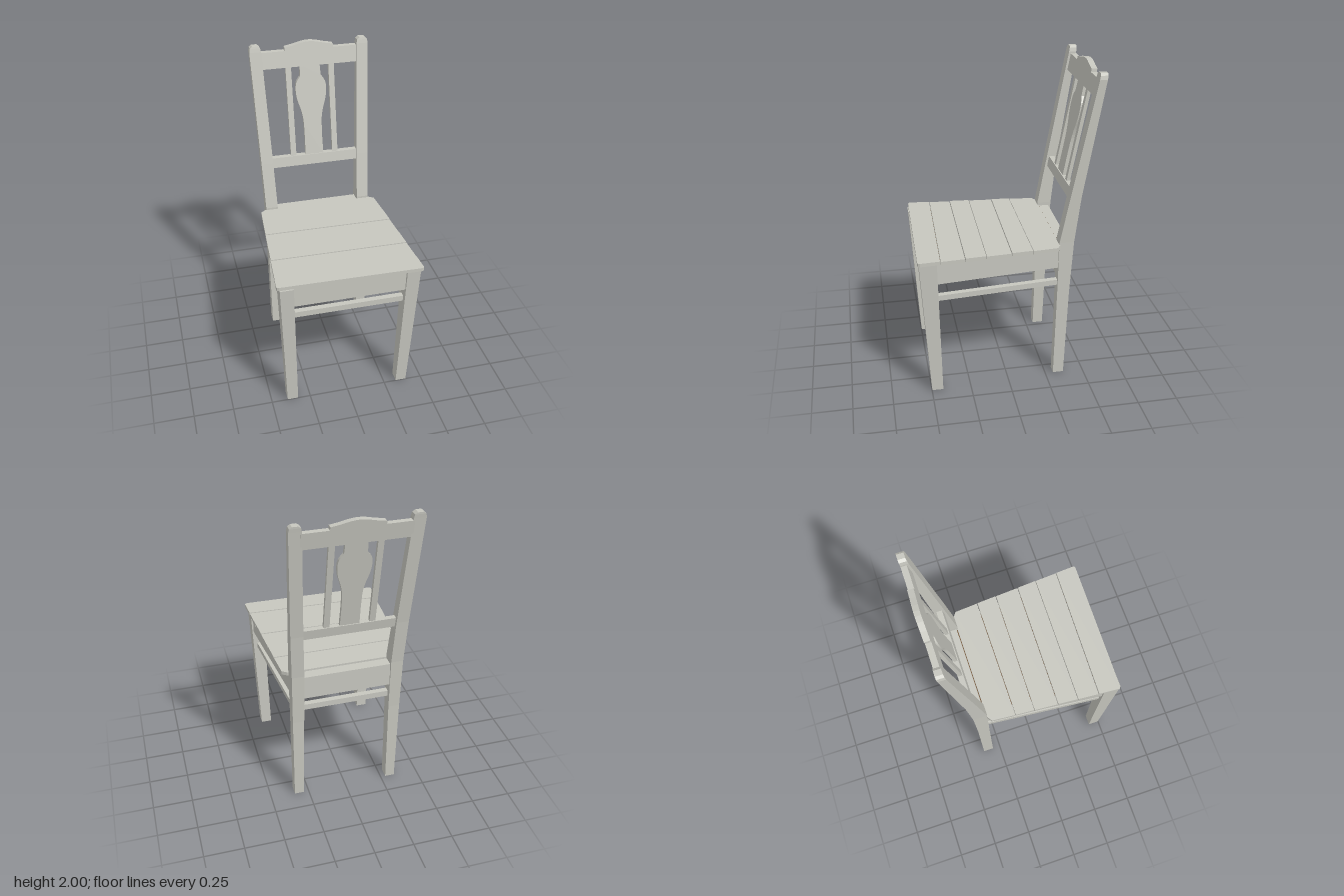
import * as THREE from 'three';

export function createModel() {
  const chair = new THREE.Group();
  chair.name = 'chair';
  const paint = new THREE.MeshStandardMaterial({ color: 0xc6c6be });
  paint.name = 'grey paint';
  const wood = new THREE.MeshStandardMaterial({ color: 0x70502f });
  wood.name = 'bare brown wood';

  function add(name, geometry, material = paint) {
    const mesh = new THREE.Mesh(geometry, material);
    mesh.name = name;
    chair.add(mesh);
    return mesh;
  }

  // Bar of rectangular sections [t, x0, x1, b0, b1] along y (b = z) or z (b = y).
  // bareFace is the box side (0..5 = +x -x +y -y +z -z) left unpainted.
  function bar(name, axis, sections, bareFace = -1) {
    const n = sections.length - 1;
    let g = new THREE.BoxGeometry(1, 1, 1, 1, axis === 'y' ? n : 1, axis === 'z' ? n : 1);
    const p = g.attributes.position;
    for (let i = 0; i < p.count; i++) {
      const along = axis === 'y' ? p.getY(i) : p.getZ(i);
      const across = axis === 'y' ? p.getZ(i) : p.getY(i);
      const [t, x0, x1, b0, b1] = sections[Math.round((along + 0.5) * n)];
      const x = p.getX(i) > 0 ? Math.max(x0, x1) : Math.min(x0, x1);
      const b = across > 0 ? b1 : b0;
      if (axis === 'y') p.setXYZ(i, x, t, b);
      else p.setXYZ(i, x, b, t);
    }
    g = g.toNonIndexed();
    g.computeVertexNormals();
    add(name, g, [0, 1, 2, 3, 4, 5].map((f) => (f === bareFace ? wood : paint)));
  }

  const FRONT = 4, BACK = 5, BOTTOM = 3;

  // Legs, side aprons and side stretchers, mirrored
  for (const s of [1, -1]) {
    const side = s > 0 ? 'left' : 'right';
    bar(side + 'FrontLeg', 'y', [
      [0, s * 0.33, s * 0.398, 0.428, 0.498],
      [0.915, s * 0.348, s * 0.432, 0.445, 0.552],
    ], BOTTOM);
    bar(side + 'RearPost', 'y', [
      [0, s * 0.282, s * 0.343, -0.37, -0.302],
      [0.6, s * 0.275, s * 0.347, -0.388, -0.312],
      [0.95, s * 0.273, s * 0.35, -0.407, -0.316],
      [1.25, s * 0.282, s * 0.359, -0.44, -0.372],
      [1.965, s * 0.306, s * 0.38, -0.555, -0.509],
      [1.988, s * 0.311, s * 0.375, -0.559, -0.514],
      [2.0, s * 0.327, s * 0.36, -0.56, -0.517],
    ], BOTTOM);
    bar(side + 'Apron', 'z', [
      [-0.33, s * 0.307, s * 0.337, 0.775, 0.915],
      [0.46, s * 0.39, s * 0.42, 0.775, 0.915],
    ], s > 0 ? 1 : 0);
    bar(side + 'Stretcher', 'z', [
      [-0.33, s * 0.293, s * 0.328, 0.65, 0.685],
      [0.46, s * 0.365, s * 0.4, 0.65, 0.685],
    ]);
  }

  // Front and rear aprons and stretchers
  bar('frontApron', 'z', [
    [0.5, -0.36, 0.36, 0.775, 0.915],
    [0.532, -0.36, 0.36, 0.775, 0.915],
  ], BACK);
  bar('rearApron', 'z', [
    [-0.39, -0.29, 0.29, 0.775, 0.928],
    [-0.325, -0.29, 0.29, 0.775, 0.928],
  ], FRONT);
  bar('frontStretcher', 'z', [
    [0.47, -0.35, 0.35, 0.67, 0.708],
    [0.505, -0.35, 0.35, 0.67, 0.708],
  ]);
  bar('rearStretcher', 'z', [
    [-0.365, -0.285, 0.285, 0.67, 0.708],
    [-0.33, -0.285, 0.285, 0.67, 0.708],
  ]);

  // Flat board lying in the xz plane from an outline of [x, z] points
  function board(name, outline, y, thickness, material) {
    const shape = new THREE.Shape(outline.map(([x, z]) => new THREE.Vector2(x, -z)));
    const g = new THREE.ExtrudeGeometry(shape, { depth: thickness, bevelEnabled: false });
    g.rotateX(-Math.PI / 2);
    return add(name, g, material).position.setY(y);
  }

  // Seat planks: joints as [z at the right edge, z at the left edge]
  const joints = [
    [-0.32, -0.32], [-0.145, -0.143], [-0.022, -0.01], [0.132, 0.146],
    [0.263, 0.275], [0.4, 0.424], [0.545, 0.56],
  ];
  const half = (z) => 0.39 + (z + 0.295) * 0.0714;
  for (let i = 0; i < joints.length - 1; i++) {
    const gap = 0.002;
    const [ar, al] = joints[i].map((z) => z + (i ? gap : 0));
    const [br, bl] = joints[i + 1].map((z) => z - (i < 5 ? gap : 0));
    let rear = [[half(al), al], [-half(ar), ar]];
    let front = [[-half(br), br], [half(bl), bl]];
    // Clipped corners at the rear, softened corners at the front
    if (i === 0) rear = [[0.388, -0.297], [0.355, -0.32], [-0.355, -0.32], [-0.388, -0.297]];
    if (i === 5) {
      front = [[-0.449, 0.53], [-0.446, 0.541], [-0.435, 0.545],
        [0.435, 0.56], [0.446, 0.557], [0.45, 0.545]];
    }
    board('seatPlank' + (i + 1), [...rear, ...front], 0.914 + (i % 2) * 0.003, 0.023, paint);
  }
  // Unpainted underside between the aprons
  board('seatUnderside', [[0.31, -0.33], [-0.31, -0.33], [-0.394, 0.505], [0.394, 0.505]],
    0.909, 0.004, wood);

  // Backrest parts: upright outline, sheared to follow the lean of the posts
  function leaning(name, outline, depth, inset) {
    const shape = new THREE.Shape(outline.map(([x, y]) => new THREE.Vector2(x, y)));
    const g = new THREE.ExtrudeGeometry(shape, { depth, bevelEnabled: false });
    const p = g.attributes.position;
    for (let i = 0; i < p.count; i++) {
      const frontZ = -0.315 - 0.191 * (p.getY(i) - 0.95) - inset;
      p.setZ(i, frontZ - depth + p.getZ(i));
    }
    g.computeVertexNormals();
    add(name, g);
  }
  const mirrored = (right) => [...right, ...right.map(([x, y]) => [-x, y]).reverse()];
  const rect = (x0, x1, y0, y1) => [[x0, y0], [x1, y0], [x1, y1], [x0, y1]];

  leaning('lowerBackRail', rect(-0.29, 0.29, 1.212, 1.277), 0.035, 0.014);
  leaning('crestRail', mirrored([
    [0.315, 1.85], [0.315, 1.953], [0.157, 1.953], [0.155, 1.973],
    [0.1, 1.983], [0.05, 1.995], [0.015, 2.0],
  ]), 0.035, 0.014);
  for (const s of [1, -1]) {
    leaning(s > 0 ? 'leftSpindle' : 'rightSpindle',
      rect(s * 0.139 - 0.018, s * 0.139 + 0.018, 1.27, 1.86), 0.022, 0.02);
  }

  // Vase-shaped splat with smoothly curved sides
  const curve = new THREE.SplineCurve([
    [0.058, 1.38], [0.06, 1.5], [0.072, 1.57], [0.093, 1.64],
    [0.1, 1.7], [0.094, 1.745], [0.075, 1.775],
  ].map(([x, y]) => new THREE.Vector2(x, y)));
  leaning('splat', mirrored([
    [0.06, 1.27],
    ...curve.getPoints(20).map((v) => [v.x, v.y]),
    [0.068, 1.785], [0.064, 1.86],
  ]), 0.022, 0.02);

  return chair;
}
